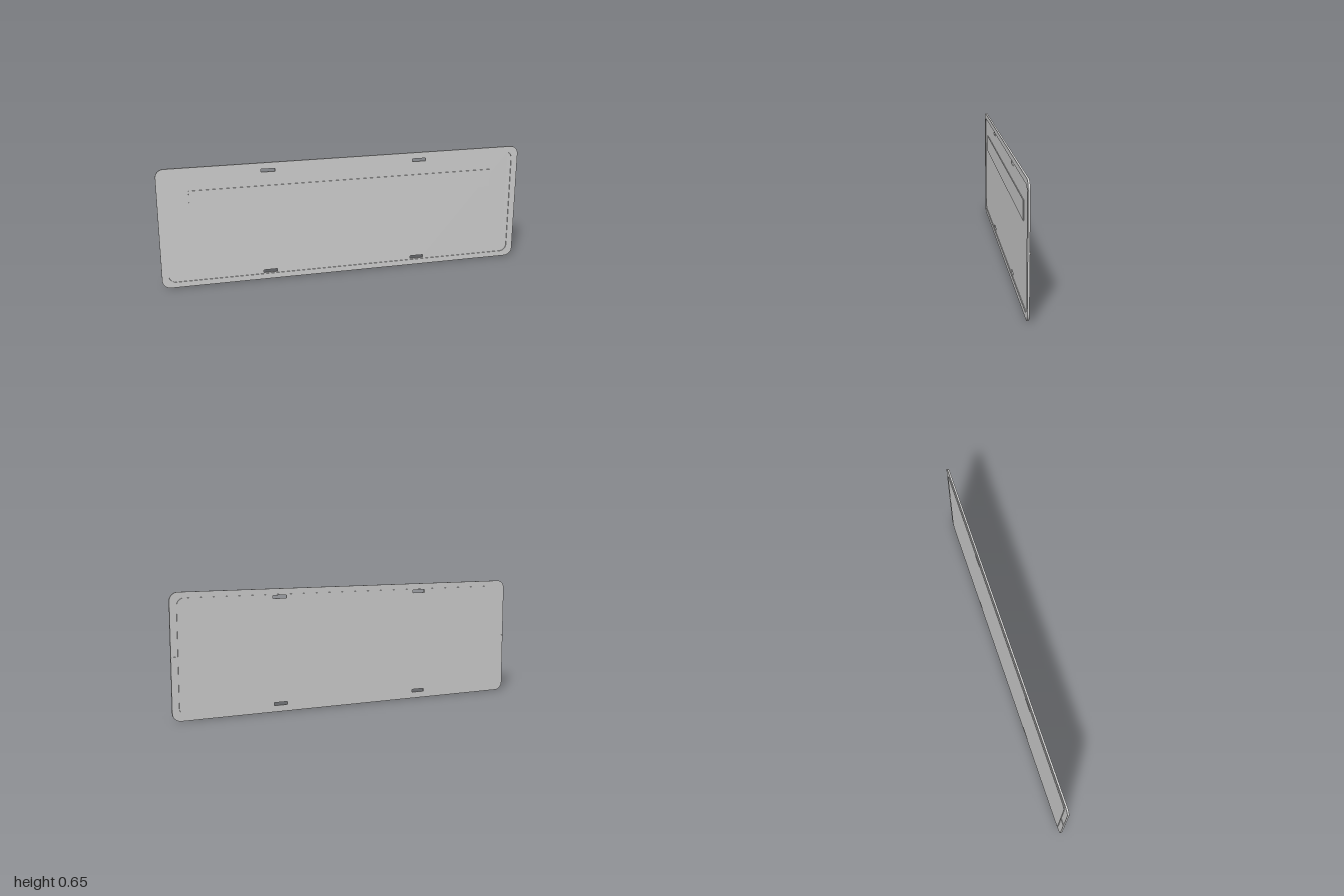
import * as THREE from 'three';

const H = 0.652, CY = H / 2;

// Rounded rectangle centred on (0, CY)
function roundedRect(Type, w, h, r) {
  const s = new Type(), x = w / 2, y0 = CY - h / 2, y1 = CY + h / 2;
  s.moveTo(-x + r, y0);
  s.lineTo(x - r, y0);
  s.absarc(x - r, y0 + r, r, -Math.PI / 2, 0, false);
  s.lineTo(x, y1 - r);
  s.absarc(x - r, y1 - r, r, 0, Math.PI / 2, false);
  s.lineTo(-x + r, y1);
  s.absarc(-x + r, y1 - r, r, Math.PI / 2, Math.PI, false);
  s.lineTo(-x, y0 + r);
  s.absarc(-x + r, y0 + r, r, Math.PI, Math.PI * 1.5, false);
  return s;
}

// Straight-sided hole
function slot(x, y, w, h) {
  return new THREE.Path([
    new THREE.Vector2(x - w / 2, y - h / 2), new THREE.Vector2(x - w / 2, y + h / 2),
    new THREE.Vector2(x + w / 2, y + h / 2), new THREE.Vector2(x + w / 2, y - h / 2),
  ]).closePath();
}

export function createModel() {
  const group = new THREE.Group();
  const material = new THREE.MeshStandardMaterial({ color: 0xcccccc });
  const add = (name, geometry, x = 0, y = 0, z = 0) => {
    const mesh = new THREE.Mesh(geometry, material);
    mesh.name = name;
    mesh.position.set(x, y, z);
    group.add(mesh);
  };
  const extrude = (shape, depth) =>
    new THREE.ExtrudeGeometry(shape, { depth, bevelEnabled: false, curveSegments: 10 });

  const panelW = 1.928, panelH = 0.592, panelR = 0.038;

  // Border, set forward of the panel
  const rim = roundedRect(THREE.Shape, 2, H, 0.045);
  rim.holes.push(roundedRect(THREE.Path, panelW, panelH, panelR));
  add('rim', extrude(rim, 0.010), 0, 0, -0.003);

  // Panel, recessed in front and standing proud behind, with four mounting slots
  const panel = roundedRect(THREE.Shape, panelW, panelH, panelR);
  for (const x of [-0.418, 0.418])
    for (const dy of [-0.283, 0.283]) panel.holes.push(slot(x, CY + dy, 0.075, 0.016));
  add('panel', extrude(panel, 0.010), 0, 0, -0.007);

  // Raised strip on the front of the panel
  add('raisedStrip', new THREE.BoxGeometry(1.674, 0.097, 0.006), 0, 0.479, 0.004);

  // Small ribs bridging the back of the rim at each end
  for (const side of [-1, 1])
    add(side > 0 ? 'leftRib' : 'rightRib', new THREE.BoxGeometry(0.036, 0.006, 0.005),
      side * 0.982, CY, -0.0045);

  return group;
}
